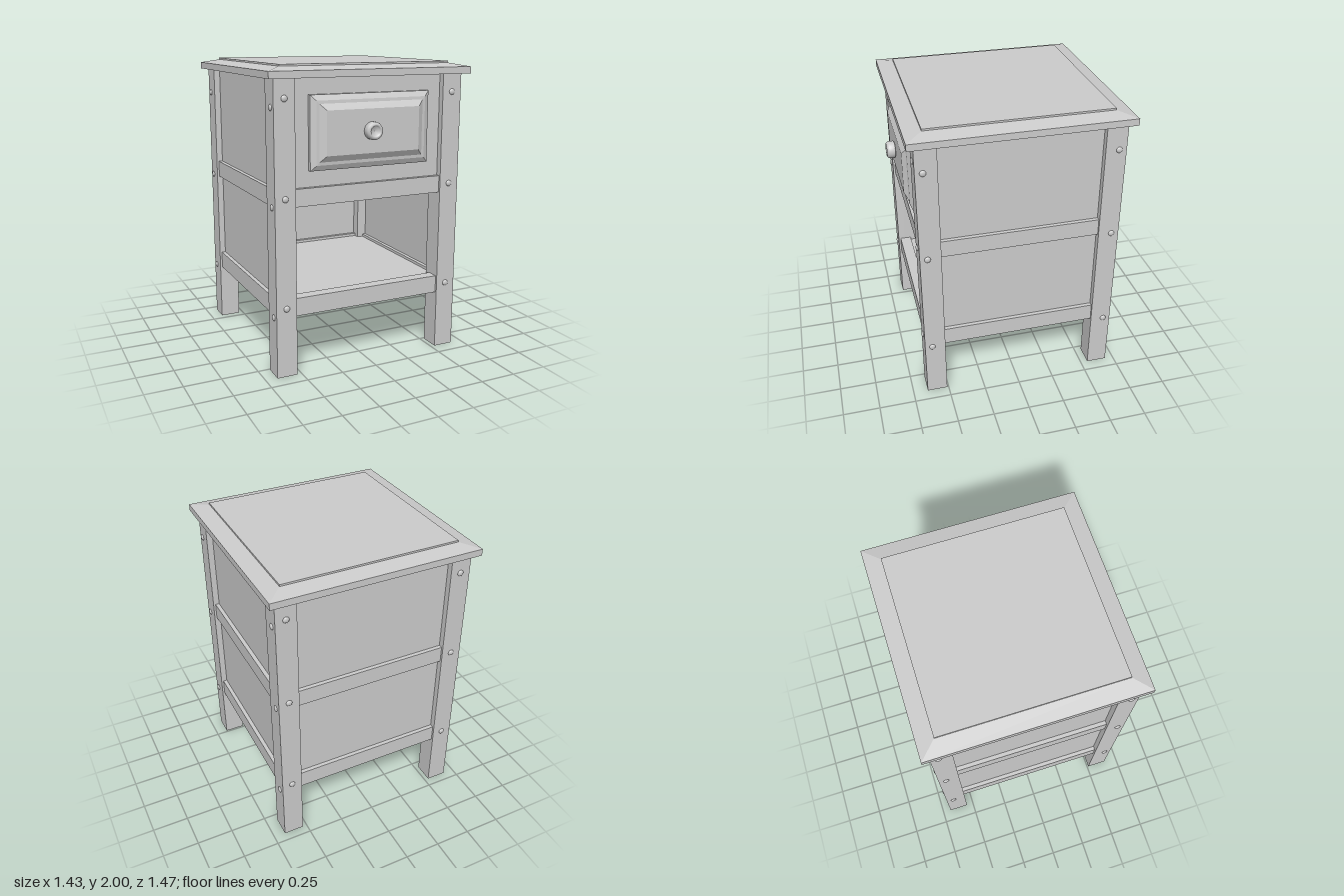
import * as THREE from 'three';

const grey = new THREE.MeshStandardMaterial({ color: 0xcccccc });

function add(parent, name, geometry, x = 0, y = 0, z = 0) {
  const mesh = new THREE.Mesh(geometry, grey);
  mesh.name = name;
  mesh.position.set(x, y, z);
  parent.add(mesh);
  return mesh;
}

// Box given by its lower and upper y
function slab(parent, name, w, y0, y1, d, x, z) {
  return add(parent, name, new THREE.BoxGeometry(w, y1 - y0, d), x, (y0 + y1) / 2, z);
}

// Stack of rectangular rings [halfWidth, halfHeight, z], flat faced and capped
function steppedPanel(rings) {
  const loops = rings.map(([w, h, z]) => [[-w, -h, z], [w, -h, z], [w, h, z], [-w, h, z]]);
  const pos = [];
  const quad = (a, b, c, d) => pos.push(...a, ...b, ...c, ...a, ...c, ...d);
  for (let i = 0; i < loops.length - 1; i++) {
    const lo = loops[i], hi = loops[i + 1];
    for (let k = 0; k < 4; k++) {
      const n = (k + 1) % 4;
      quad(lo[k], lo[n], hi[n], hi[k]);
    }
  }
  quad(...loops[loops.length - 1]);
  quad(...[...loops[0]].reverse());
  const geometry = new THREE.BufferGeometry();
  geometry.setAttribute('position', new THREE.Float32BufferAttribute(pos, 3));
  geometry.computeVertexNormals();
  return geometry;
}

export function createModel() {
  const model = new THREE.Group();
  model.name = 'nightstand';
  const body = new THREE.Group();
  body.name = 'body';
  body.position.z = -0.02; // leaves room for the knob in front
  model.add(body);

  // Legs
  for (const sx of [-1, 1]) for (const sz of [-1, 1])
    slab(body, 'leg', 0.14, 0, 1.92, 0.14, sx * 0.6, sz * 0.6);

  // Rails and panels, one group per side: 0 front, 1 left, 2 back, 3 right
  const dome = new THREE.SphereGeometry(0.021, 16, 6, 0, Math.PI * 2, 0, Math.PI / 2);
  dome.scale(1, 0.55, 1).rotateX(Math.PI / 2);
  ['front', 'left', 'back', 'right'].forEach((name, i) => {
    const side = new THREE.Group();
    side.name = name + 'Side';
    side.rotation.y = i * Math.PI / 2;
    body.add(side);
    slab(side, 'bottomRail', 1.06, 0.4, 0.52, 0.08, 0, 0.615);
    slab(side, 'middleRail', 1.06, 1.12, 1.235, 0.08, 0, 0.615);
    slab(side, 'panel', 1.08, i === 0 ? 1.18 : 0.46, 1.92, 0.025, 0, 0.615);
    // Domed bolts, lower on the left and right sides
    const across = i % 2;
    for (const s of [-1, 1]) for (const y of across ? [0.4, 1.125, 1.745] : [0.465, 1.18, 1.8])
      add(side, 'bolt', dome, s * (across ? 0.62 : 0.6), y, 0.67);
  });

  // Shelf and drawer floor
  slab(body, 'shelf', 1.18, 0.45, 0.5, 1.18, 0, 0);
  slab(body, 'drawerFloor', 1.18, 1.16, 1.2, 1.18, 0, 0);

  // Bevelled top with a raised centre
  const top = steppedPanel([
    [0.715, 0.715, 0], [0.715, 0.715, 0.045], [0.605, 0.605, 0.068], [0.605, 0.605, 0.08],
  ]);
  add(body, 'top', top.rotateX(-Math.PI / 2), 0, 1.92, 0);

  // Drawer front with two bevelled steps
  const drawer = new THREE.Group();
  drawer.name = 'drawer';
  drawer.position.set(0, 1.577, 0.62);
  body.add(drawer);
  add(drawer, 'drawerFront', steppedPanel([
    [0.425, 0.237, 0], [0.425, 0.237, 0.035], [0.39, 0.202, 0.053],
    [0.37, 0.182, 0.055], [0.33, 0.142, 0.08],
  ]));

  // Turned knob with a dished face
  const profile = [
    [0, 0], [0.05, 0], [0.058, 0.008], [0.058, 0.038], [0.054, 0.05],
    [0.044, 0.058], [0.034, 0.056], [0.028, 0.044], [0, 0.04],
  ].map(([r, h]) => new THREE.Vector2(r, h));
  const knob = add(drawer, 'knob', new THREE.LatheGeometry(profile, 32), -0.018, 0.003, 0.079);
  knob.rotation.x = Math.PI / 2;

  return model;
}
